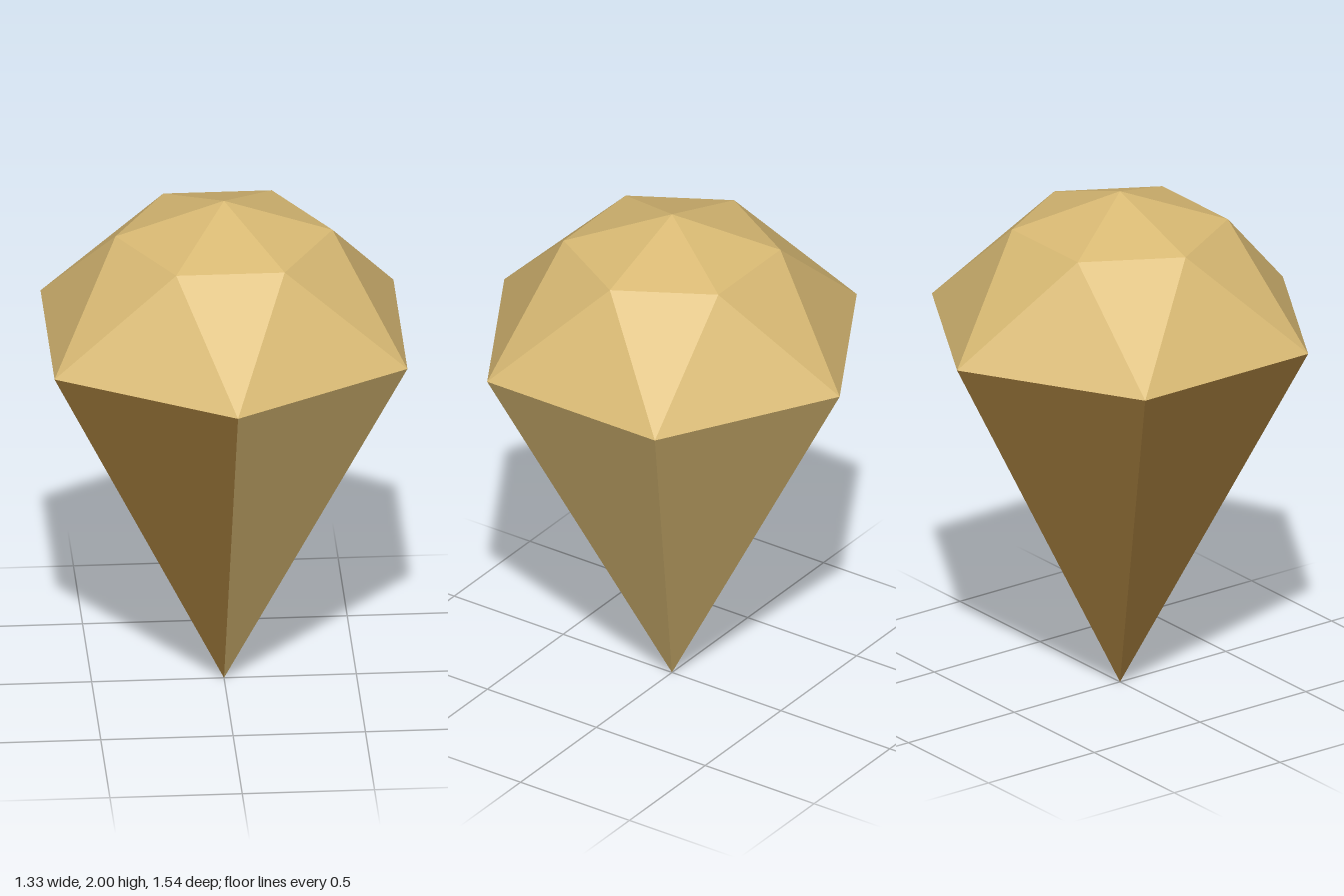
import * as THREE from 'three';

const SIDES = 6;
const GIRDLE_R = 0.77, GIRDLE_Y = 1.46;
const TABLE_R = 0.41, TABLE_Y = 1.865;
const TOP_Y = 2;

// Corner of a hexagonal ring; step 0 points to the front, then turns towards +x
function corner(radius, y, step) {
  const a = (step / SIDES) * Math.PI * 2;
  return [Math.sin(a) * radius, y, Math.cos(a) * radius];
}

// Faceted dome: staggered triangles up to the small ring, then a shallow cap
function crownGeometry() {
  const points = [];
  for (let i = 0; i < SIDES; i++) {
    const g0 = corner(GIRDLE_R, GIRDLE_Y, i);
    const g1 = corner(GIRDLE_R, GIRDLE_Y, i + 1);
    const t0 = corner(TABLE_R, TABLE_Y, i + 0.5);
    const t1 = corner(TABLE_R, TABLE_Y, i + 1.5);
    points.push(...g0, ...g1, ...t0);
    points.push(...t0, ...g1, ...t1);
    points.push(...t0, ...t1, 0, TOP_Y, 0);
  }
  const geometry = new THREE.BufferGeometry();
  geometry.setAttribute('position', new THREE.Float32BufferAttribute(points, 3));
  geometry.computeVertexNormals();
  return geometry;
}

// Three long facets running down to the point
function pavilionGeometry(startAngle) {
  const geometry = new THREE.CylinderGeometry(
    GIRDLE_R, 0, GIRDLE_Y, SIDES / 2, 1, true, startAngle, Math.PI
  ).toNonIndexed();
  geometry.translate(0, GIRDLE_Y / 2, 0);
  geometry.computeVertexNormals();
  return geometry;
}

export function createModel() {
  const gold = new THREE.MeshStandardMaterial({ color: 0xd8b973, flatShading: true });
  gold.name = 'pale gold';
  const brown = new THREE.MeshStandardMaterial({ color: 0xaa8240, flatShading: true });
  brown.name = 'golden brown';

  const gem = new THREE.Group();
  gem.name = 'gem';
  const add = (name, geometry, material) => {
    const mesh = new THREE.Mesh(geometry, material);
    mesh.name = name;
    gem.add(mesh);
  };

  add('crown', crownGeometry(), gold);
  add('leftPavilion', pavilionGeometry(0), gold);
  add('rightPavilion', pavilionGeometry(Math.PI), brown);
  return gem;
}
